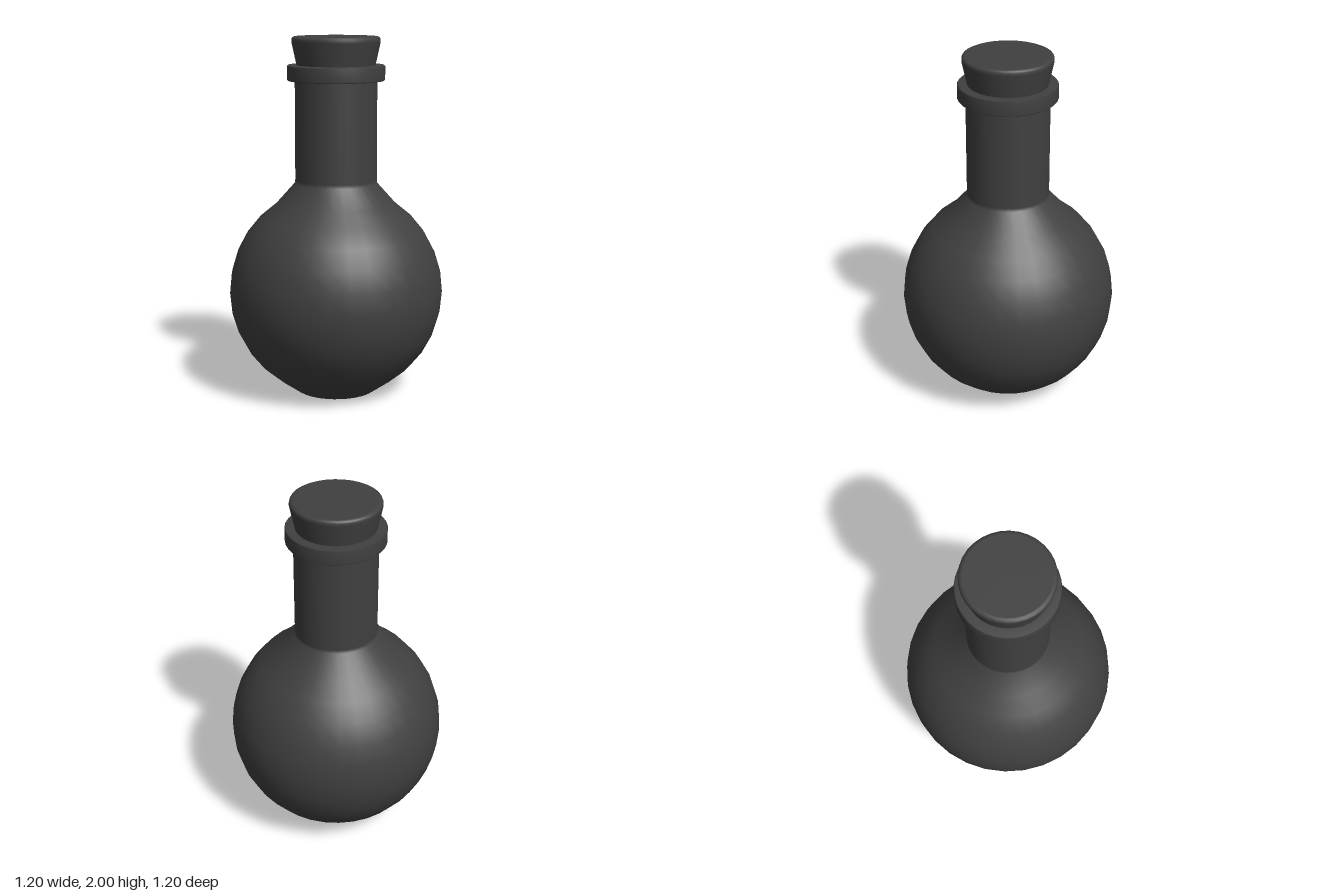
import * as THREE from 'three';

const SEGMENTS = 32;

// Surface of revolution from [radius, height] pairs, listed bottom to top
function turned(name, profile, material) {
  const points = profile.map(([r, y]) => new THREE.Vector2(r, y));
  const mesh = new THREE.Mesh(new THREE.LatheGeometry(points, SEGMENTS), material);
  mesh.name = name;
  // start the seam on the +x axis
  mesh.rotation.y = Math.PI / 2;
  return mesh;
}

export function createModel() {
  const group = new THREE.Group();
  group.name = 'flask';
  const dark = new THREE.MeshStandardMaterial({ color: 0x404040 });

  // Round body with a flat foot, running into the straight neck
  const radius = 0.6, centreY = 0.575;
  const body = [[0, 0], [0.225, 0], [0.23, 0.003]];
  for (let i = -5; i <= 5; i++) {
    const a = (i * Math.PI) / 16;
    body.push([radius * Math.cos(a), centreY + radius * Math.sin(a)]);
  }
  body.push([0.23, 1.19], [0.228, 1.21], [0.228, 1.8]);
  group.add(turned('bottle', body, dark));

  // Collar around the mouth
  group.add(turned('collar', [
    [0.2, 1.76], [0.265, 1.76], [0.271, 1.766],
    [0.271, 1.839], [0.265, 1.845], [0.2, 1.845],
  ], dark));

  // Tapered stopper with a softened top edge
  group.add(turned('stopper', [
    [0, 1.79], [0.207, 1.79], [0.218, 1.845], [0.245, 1.97],
    [0.245, 1.985], [0.241, 1.995], [0.23, 2], [0.222, 2], [0, 2],
  ], dark));

  return group;
}
